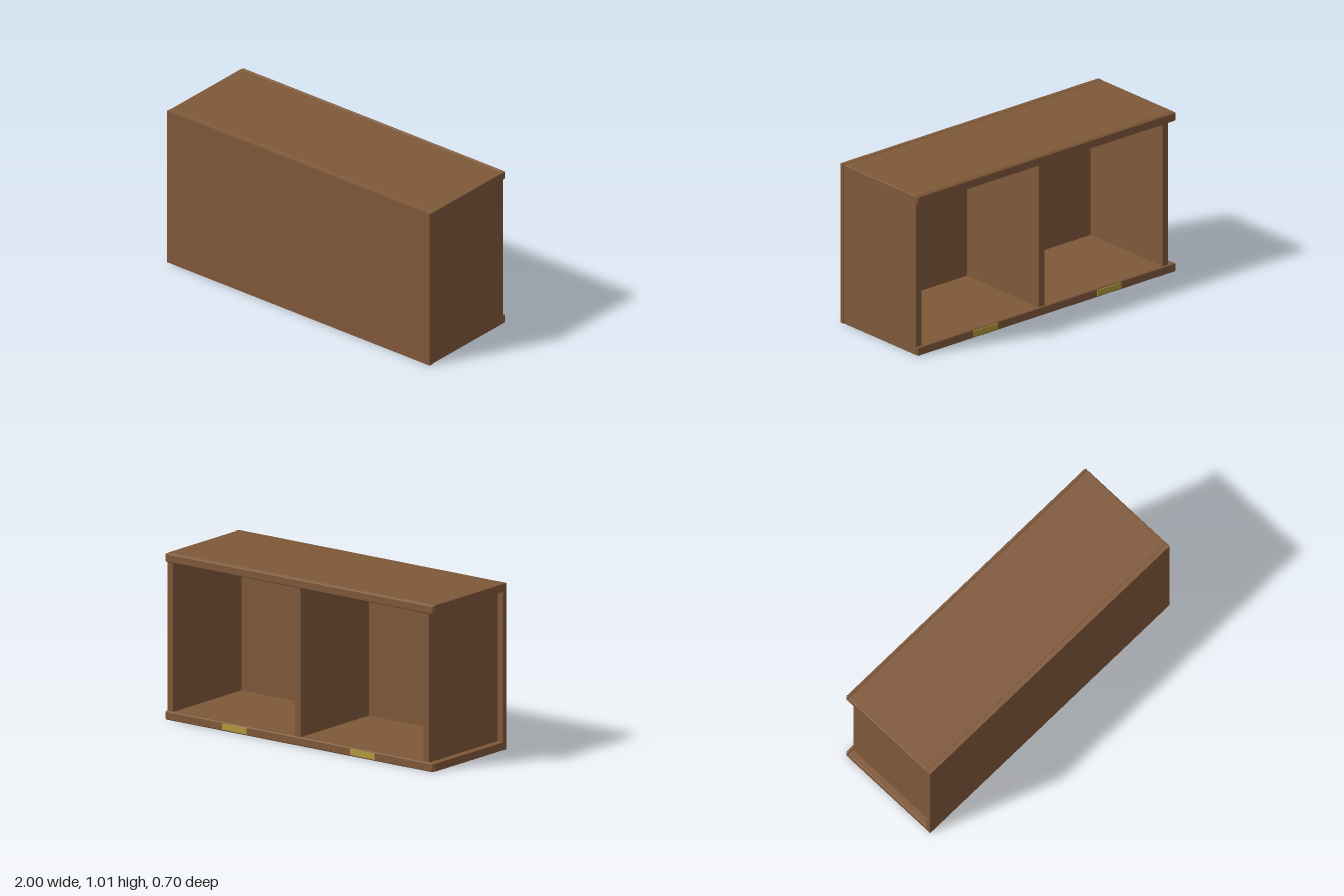
import * as THREE from 'three';
import { RoundedBoxGeometry } from 'three/addons/geometries/RoundedBoxGeometry.js';

export function createModel() {
  const group = new THREE.Group();
  group.name = 'shelfUnit';
  const wood = new THREE.MeshStandardMaterial({ color: 0x80593a });
  wood.name = 'brown wood';
  const brass = new THREE.MeshStandardMaterial({ color: 0xb59a3c });
  brass.name = 'brass';

  // Adds a box given by its limits on each axis; radius 0 keeps edges sharp
  function board(name, [x0, x1], [y0, y1], [z0, z1], radius = 0, material = wood) {
    const size = [x1 - x0, y1 - y0, z1 - z0];
    const geometry = radius
      ? new RoundedBoxGeometry(...size, 3, radius)
      : new THREE.BoxGeometry(...size);
    const mesh = new THREE.Mesh(geometry, material);
    mesh.name = name;
    mesh.position.set((x0 + x1) / 2, (y0 + y1) / 2, (z0 + z1) / 2);
    group.add(mesh);
  }

  const height = 1.008, thick = 0.05;
  const depth = [-0.325, 0.321];

  // Large closed panel
  board('frontPanel', [-1, 1], [0, height], [0.321, 0.35]);

  // Top and bottom boards, each with a rounded trim on the open side
  for (const [label, y] of [['bottom', 0], ['top', height - thick]]) {
    board(label + 'Board', [-1, 0.998], [y, y + thick], depth, 0.005);
    const t = label === 'top' ? height - 0.054 : 0;
    board(label + 'Trim', [-1, 1], [t, t + 0.054], [-0.344, -0.325], 0.008);
  }

  // Uprights: one flush, one in the middle, one set in from the end
  board('leftSide', [0.955, 1], [0.001, height - 0.001], depth, 0.005);
  board('divider', [0.002, 0.048], [0.03, height - 0.03], depth, 0.005);
  board('rightSide', [-0.958, -0.912], [0.03, height - 0.03], depth, 0.005);

  // Label plates on the bottom trim
  for (const s of [-1, 1]) {
    const x = s * 0.478;
    board('labelPlate', [x - 0.092, x + 0.092], [0.01, 0.047], [-0.35, -0.343], 0, brass);
  }
  return group;
}
